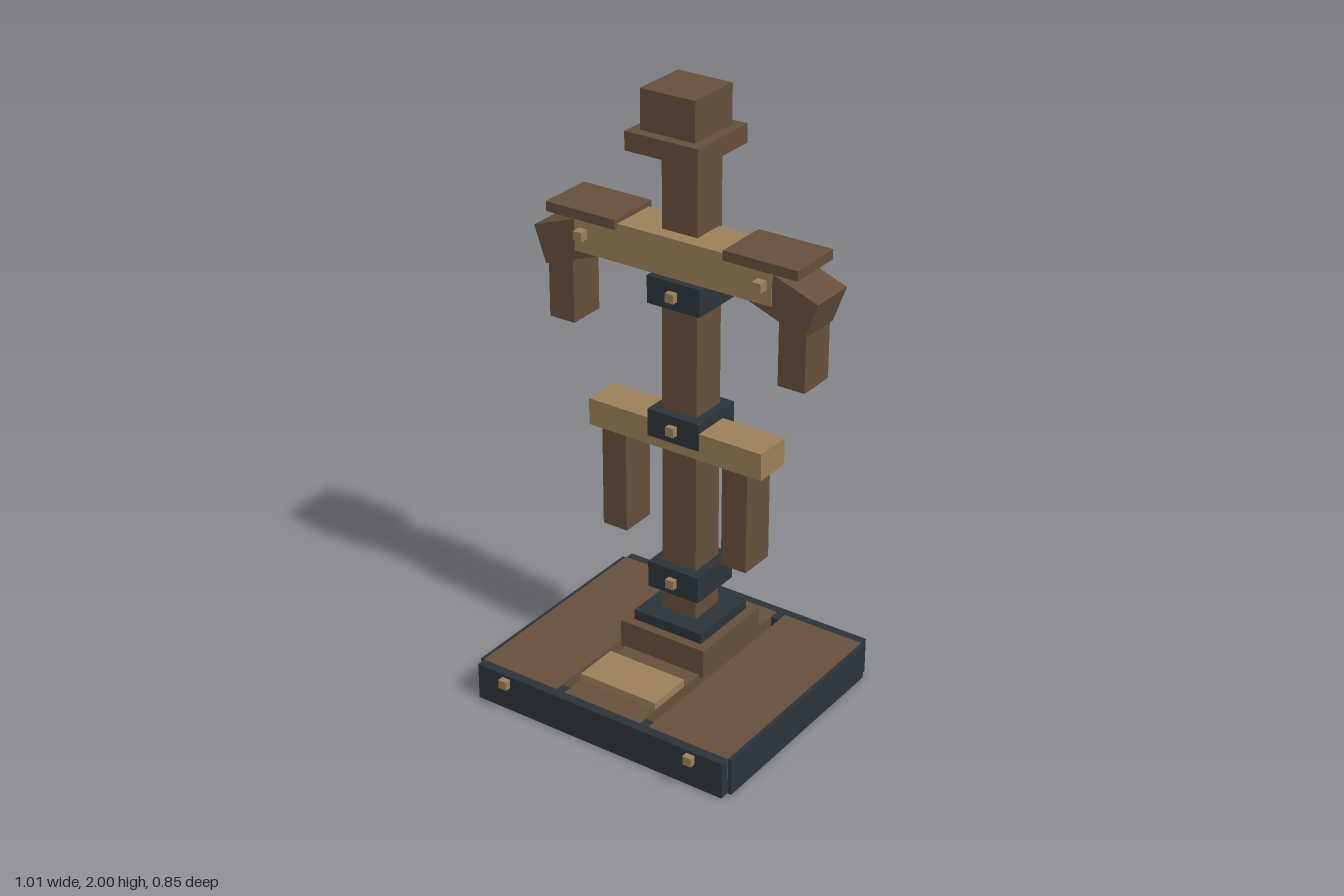
import * as THREE from 'three';

const brownWood = new THREE.MeshStandardMaterial({ color: 0x664e3b });
const paleWood = new THREE.MeshStandardMaterial({ color: 0x9c8058 });
const darkIron = new THREE.MeshStandardMaterial({ color: 0x2b343a });
brownWood.name = 'brownWood';
paleWood.name = 'paleWood';
darkIron.name = 'darkIron';

export function createModel() {
  const model = new THREE.Group();
  model.name = 'trainingDummy';

  // Box given by its min and max along each axis
  function box(name, material, [x0, x1], [y0, y1], [z0, z1]) {
    const mesh = new THREE.Mesh(new THREE.BoxGeometry(x1 - x0, y1 - y0, z1 - z0), material);
    mesh.position.set((x0 + x1) / 2, (y0 + y1) / 2, (z0 + z1) / 2);
    mesh.name = name;
    model.add(mesh);
    return mesh;
  }
  const centred = (name, material, half, y, z) => box(name, material, [-half, half], y, z);
  const peg = (name, x, y, z) =>
    box(name, paleWood, [x - 0.015, x + 0.015], [y - 0.015, y + 0.015], z);

  // Base: planks framed by iron rails
  centred('middlePlank', brownWood, 0.143, [0, 0.127], [-0.394, 0.37]);
  centred('frontRail', darkIron, 0.462, [0.001, 0.125], [0.338, 0.4]);
  centred('backRail', darkIron, 0.462, [0.001, 0.125], [-0.426, -0.36]);
  centred('footPlate', paleWood, 0.141, [0.12, 0.152], [0.132, 0.288]);

  // Pedestal and post
  centred('pedestal', brownWood, 0.158, [0.12, 0.218], [-0.263, 0.052]);
  centred('pedestalPlate', darkIron, 0.127, [0.218, 0.253], [-0.234, 0.021]);
  centred('post', brownWood, 0.063, [0.253, 1.815], [-0.168, -0.042]);

  // Iron clamps with their pegs
  for (const y of [0.385, 0.923, 1.367]) {
    centred('clamp', darkIron, 0.094, [y - 0.045, y + 0.045], [-0.2, -0.008]);
    peg('clampPeg', 0, y, [-0.02, 0.012]);
  }

  // Hip and shoulder beams
  centred('hipBeam', paleWood, 0.317, [0.847, 0.937], [-0.138, -0.01]);
  centred('shoulderBeam', paleWood, 0.35, [1.431, 1.556], [-0.155, 0.004]);

  // Head
  centred('headCollar', brownWood, 0.127, [1.815, 1.874], [-0.2, 0.052]);
  centred('head', brownWood, 0.095, [1.874, 2], [-0.169, 0.019]);

  // Mirrored parts
  for (const s of [-1, 1]) {
    const side = s > 0 ? 'left' : 'right';
    const span = (a, b) => (s > 0 ? [a, b] : [-b, -a]);
    box(side + 'Plank', brownWood, span(0.175, 0.463), [0, 0.127], [-0.394, 0.37]);
    box(side + 'Rail', darkIron, span(0.415, 0.476), [0.001, 0.125], [-0.392, 0.368]);
    peg(side + 'RailPeg', s * 0.35, 0.1, [0.39, 0.421]);
    box(side + 'Leg', brownWood, span(0.178, 0.268), [0.51, 0.85], [-0.137, -0.011]);

    // Arm: sloping upper block with a hanging forearm
    const upperArm = box(side + 'UpperArm', brownWood, [-0.105, 0.105], [-0.062, 0.062], [-0.153, 0.002]);
    upperArm.position.x = s * 0.384;
    upperArm.position.y = 1.454;
    upperArm.rotation.z = -s * THREE.MathUtils.degToRad(20);
    box(side + 'Forearm', brownWood, span(0.368, 0.46), [1.18, 1.42], [-0.138, -0.01]);
    box(side + 'ShoulderPlate', brownWood, span(0.191, 0.444), [1.54, 1.572], [-0.17, 0.018]);
    peg(side + 'ShoulderPeg', s * 0.317, 1.494, [-0.01, 0.035]);
  }
  return model;
}
